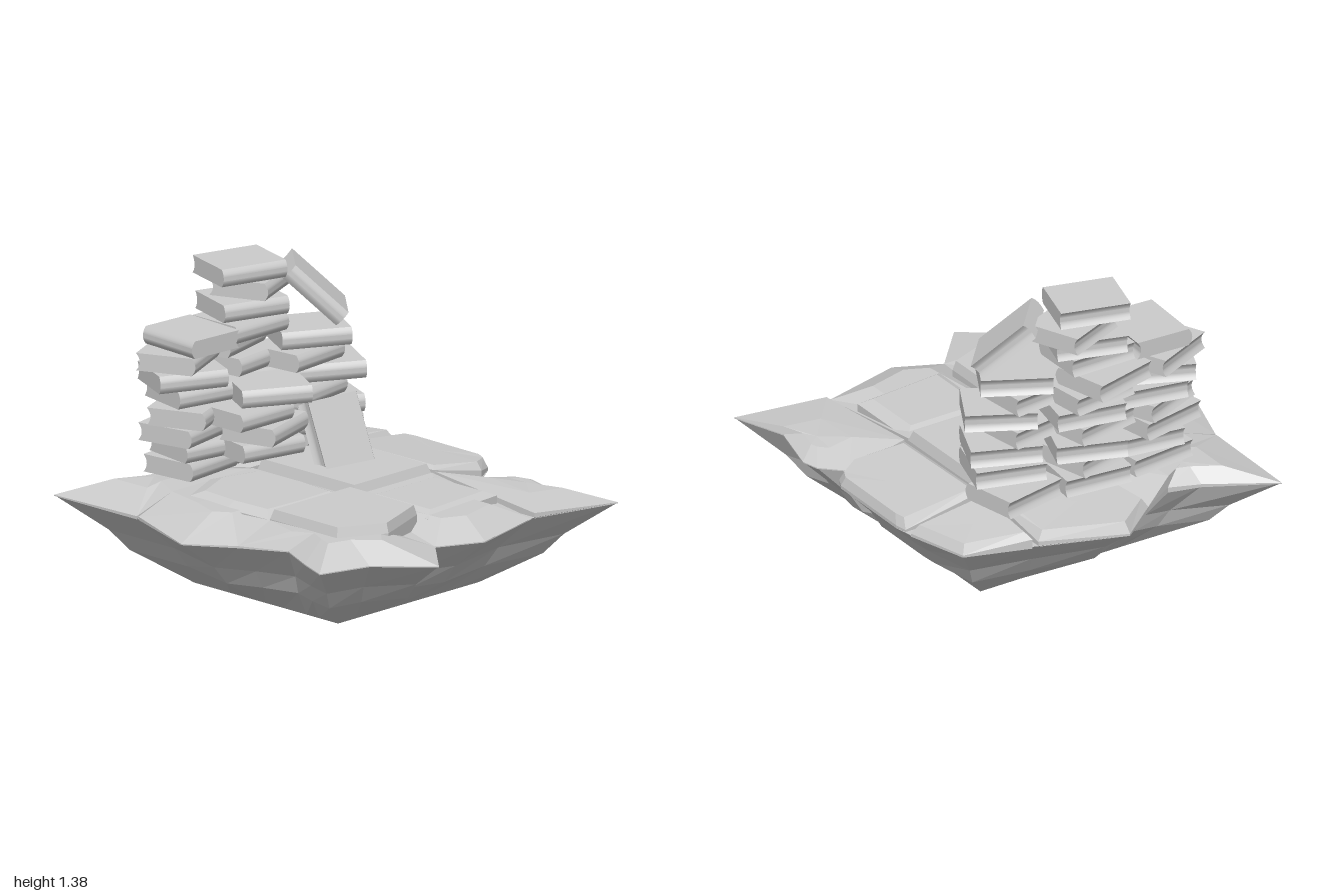
import * as THREE from 'three';
import { toCreasedNormals } from 'three/addons/utils/BufferGeometryUtils.js';

const stone = new THREE.MeshStandardMaterial({ color: 0xcccccc, flatShading: true });
const paper = new THREE.MeshStandardMaterial({ color: 0xcccccc });

// Skin a stack of equal-length rings (top first) and close the ends
function loft(name, rings, closeBottom) {
  const pos = [];
  const tri = (...pts) => pts.forEach((p) => pos.push(...p));
  const middle = (ring) => [0, 1, 2].map((k) => ring.reduce((s, p) => s + p[k], 0) / ring.length);
  const n = rings[0].length, last = rings[rings.length - 1];
  const topMid = middle(rings[0]), lowMid = middle(last);
  for (let j = 0; j < n; j++) {
    const k = (j + 1) % n;
    tri(topMid, rings[0][j], rings[0][k]);
    for (let i = 0; i < rings.length - 1; i++) {
      const a = rings[i], b = rings[i + 1];
      tri(a[j], b[j], a[k]);
      tri(b[j], b[k], a[k]);
    }
    if (closeBottom) tri(lowMid, last[k], last[j]);
  }
  const geo = new THREE.BufferGeometry();
  geo.setAttribute('position', new THREE.Float32BufferAttribute(pos, 3));
  geo.computeVertexNormals();
  const mesh = new THREE.Mesh(geo, stone);
  mesh.name = name;
  return mesh;
}

// Stone with a bevelled edge: the outline shrinks by s and rises by k towards the top height
function slab(name, outline, s, top, k = 1) {
  const cx = outline.reduce((t, p) => t + p[0], 0) / outline.length;
  const cz = outline.reduce((t, p) => t + p[2], 0) / outline.length;
  const inner = outline.map(([x, y, z]) => [cx + (x - cx) * s, y + (top - y) * k, cz + (z - cz) * s]);
  return loft(name, [inner, outline, outline.map(([x, , z]) => [x, 0.375, z])]);
}
const flat = (y, pts) => pts.map(([x, z]) => [x, y, z]);

// Rock underside: jagged rim narrowing to a square foot
function rock() {
  const rim = [
    [-0.76, -0.97], [-0.76, -0.45], [-0.9, -0.05], [-0.76, 0.16], [-0.65, 0.36], [-0.74, 0.55],
    [-0.8, 0.7], [-0.56, 0.77], [-0.35, 0.99], [-0.15, 0.77], [0.06, 0.87], [0.46, 0.77],
    [0.89, 0.87], [0.8, 0.62], [0.87, 0.36], [0.85, 0.28], [0.75, 0.18], [0.84, 0.12],
    [0.865, 0.07], [0.87, -0.37], [0.86, -0.47], [0.78, -0.76], [0.46, -0.86], [0.06, -1],
    [-0.13, -0.86], [-0.3, -0.76], [-0.45, -0.8],
  ];
  const half = 0.44, cx = 0.06, cz = -0.04;
  const foot = ([x, z]) => {
    const dx = x - cx, dz = z - cz, reach = Math.max(Math.abs(dx), Math.abs(dz));
    // points near a diagonal snap to the corner of the foot
    const snap = (d) => (Math.abs(d) > 0.85 * reach ? Math.sign(d) : d / reach);
    return [cx + half * snap(dx), cz + half * snap(dz)];
  };
  const ring = (y, t) => rim.map((p) => {
    const [fx, fz] = foot(p);
    return [fx + (p[0] - fx) * t, y, fz + (p[1] - fz) * t];
  });
  return loft('rockBase', [ring(0.38, 1), ring(0.23, 0.61), ring(0.14, 0.46), ring(0, 0)], true);
}

// Paving on top of the rock, parted by grooves
function paving() {
  const g = new THREE.Group();
  g.name = 'paving';
  g.add(
    slab('backLeftGround', [[-0.76, 0.38, -0.97], [-0.76, 0.39, -0.46], [-0.55, 0.46, -0.45], [-0.06, 0.46, -0.45],
      [-0.13, 0.4, -0.86], [-0.3, 0.4, -0.76], [-0.45, 0.39, -0.8]], 0.4, 0.465, 0.8),
    slab('midLeftGround', [[-0.76, 0.39, -0.45], [-0.9, 0.38, -0.05], [-0.76, 0.385, 0.16], [-0.56, 0.46, 0.16],
      [-0.05, 0.46, 0.16], [-0.05, 0.46, -0.45], [-0.55, 0.46, -0.45]], 0.35, 0.465),
    slab('frontLeftGround', [[-0.76, 0.385, 0.16], [-0.65, 0.38, 0.36], [-0.74, 0.38, 0.55], [-0.8, 0.38, 0.7],
      [-0.56, 0.38, 0.77], [-0.35, 0.38, 0.99], [-0.15, 0.38, 0.77], [-0.05, 0.46, 0.16], [-0.56, 0.46, 0.16]],
    0.45, 0.465),
    slab('frontMiddleGround', [[-0.05, 0.46, 0.16], [-0.15, 0.38, 0.77], [0.06, 0.38, 0.87], [0.45, 0.38, 0.77],
      [0.45, 0.46, 0.16]], 0.5, 0.455),
    slab('frontRightGround', [[0.47, 0.46, 0.16], [0.47, 0.4, 0.77], [0.89, 0.38, 0.87], [0.8, 0.38, 0.62],
      [0.87, 0.38, 0.36], [0.85, 0.38, 0.28], [0.75, 0.38, 0.18]], 0.4, 0.43, 0.7),
    slab('midRightSlab', [[0.47, 0.46, -0.43], [0.48, 0.46, 0.14], [0.74, 0.41, 0.18], [0.84, 0.39, 0.12],
      [0.865, 0.39, 0.07], [0.87, 0.39, -0.37], [0.86, 0.39, -0.43]], 0.9, 0.49, 0.45),
    slab('backRightSlab', [[0.48, 0.42, -0.86], [0.47, 0.46, -0.46], [0.86, 0.39, -0.47], [0.78, 0.385, -0.76]],
      0.86, 0.49, 0.45),
    slab('backMiddleSlab', [[0.06, 0.385, -1], [-0.13, 0.4, -0.86], [-0.05, 0.46, -0.46], [0.45, 0.46, -0.46],
      [0.45, 0.4, -0.86]], 0.9, 0.49, 0.5),
    slab('centreSlab', flat(0.45, [[-0.03, -0.44], [-0.03, 0.16], [0.45, 0.16], [0.45, -0.44]]), 0.94, 0.5),
    slab('frontLeftSlab', flat(0.465, [[-0.56, 0.16], [-0.56, 0.57], [-0.35, 0.68], [-0.06, 0.57], [-0.06, 0.16]]),
      0.95, 0.51),
    slab('midLeftSlab', flat(0.46, [[-0.55, -0.35], [-0.57, -0.1], [-0.56, 0.15], [-0.31, 0.16], [-0.07, 0.15],
      [-0.05, -0.1], [-0.08, -0.4], [-0.3, -0.46]]), 0.78, 0.485),
    slab('frontMiddleSlab', flat(0.445, [[-0.03, 0.18], [-0.03, 0.61], [0.2, 0.59], [0.44, 0.57], [0.44, 0.18]]),
      0.76, 0.47),
  );
  return g;
}

// Book: rounded spine on local +z, hollow fore edge on -z, length along x
const LENGTH = 0.32, WIDTH = 0.275, THICK = 0.08;
function bookGeometry() {
  const w = WIDTH / 2, h = THICK / 2;
  const profile = new THREE.Shape();
  profile.moveTo(-w, -h);
  profile.lineTo(w - 0.015, -h);
  profile.quadraticCurveTo(w + 0.02, 0, w - 0.015, h);
  profile.lineTo(-w, h);
  profile.quadraticCurveTo(-w + 0.035, 0, -w, -h);
  const geo = new THREE.ExtrudeGeometry(profile, { depth: LENGTH, bevelEnabled: false, curveSegments: 8 });
  geo.translate(0, 0, -LENGTH / 2);
  geo.rotateY(-Math.PI / 2);
  return toCreasedNormals(geo, 0.6);
}

// Each stack lists [level, x, z, turn]
const stacks = {
  leftStack: [[0, -0.3, -0.58, 0.1], [1, -0.28, -0.56, -0.15], [2, -0.35, -0.57, 0.2], [3, -0.34, -0.55, 0.4],
    [4, -0.29, -0.58, -0.2], [5, -0.36, -0.57, -0.42], [6, -0.36, -0.6, 0.42], [7, -0.32, -0.56, -1.63]],
  middleStack: [[0, 0.03, -0.6, -0.1], [1, 0, -0.57, 0.25], [2, 0.04, -0.62, -0.35], [3, 0, -0.58, 0.2],
    [4, 0.05, -0.6, -0.2], [5, 0.02, -0.6, 0.12], [6, -0.03, -0.66, 0.25], [7, -0.01, -0.56, 0],
    [8, 0.02, -0.58, -0.3], [9, 0.1, -0.6, 0.4], [10, 0.015, -0.59, -0.28]],
  rightStack: [[0, 0.39, -0.58, 0.2], [1, 0.38, -0.48, -0.3], [2, 0.37, -0.45, -0.4], [3, 0.25, -0.45, 0.15],
    [4, 0.37, -0.43, -0.5], [5, 0.24, -0.46, 0.1], [6, 0.3, -0.45, -0.5]],
  frontStack: [[1, -0.1, -0.37, -0.2], [2, -0.09, -0.34, 0.3], [3, -0.18, -0.36, 0], [4, -0.065, -0.335, -0.5]],
};

export function createModel() {
  const model = new THREE.Group();
  model.name = 'bookPilesOnRock';
  model.add(rock(), paving());

  const geo = bookGeometry();
  for (const [name, books] of Object.entries(stacks)) {
    const stack = new THREE.Group();
    stack.name = name;
    for (const [level, x, z, turn] of books) {
      const book = new THREE.Mesh(geo, paper);
      book.name = 'book';
      book.position.set(x, 0.522 + 0.0815 * level, z);
      book.rotation.y = turn;
      stack.add(book);
    }
    model.add(stack);
  }

  // Loose books, set by the direction of their length and of their spine
  const loose = (name, centre, along, spine) => {
    const x = new THREE.Vector3(...along).normalize();
    const y = new THREE.Vector3(...spine).cross(x).normalize();
    const book = new THREE.Mesh(geo, paper);
    book.name = name;
    book.quaternion.setFromRotationMatrix(new THREE.Matrix4().makeBasis(x, y, x.clone().cross(y)));
    book.position.set(...centre);
    model.add(book);
  };
  loose('slidingBook', [0.34, 1.2, -0.455], [0.54, -0.69, 0.49], [-0.65, -0.02, 0.76]);
  loose('leaningBook', [0.215, 0.618, -0.185], [0.04, 0.9, -0.4], [0.98, 0, 0.17]);
  return model;
}
